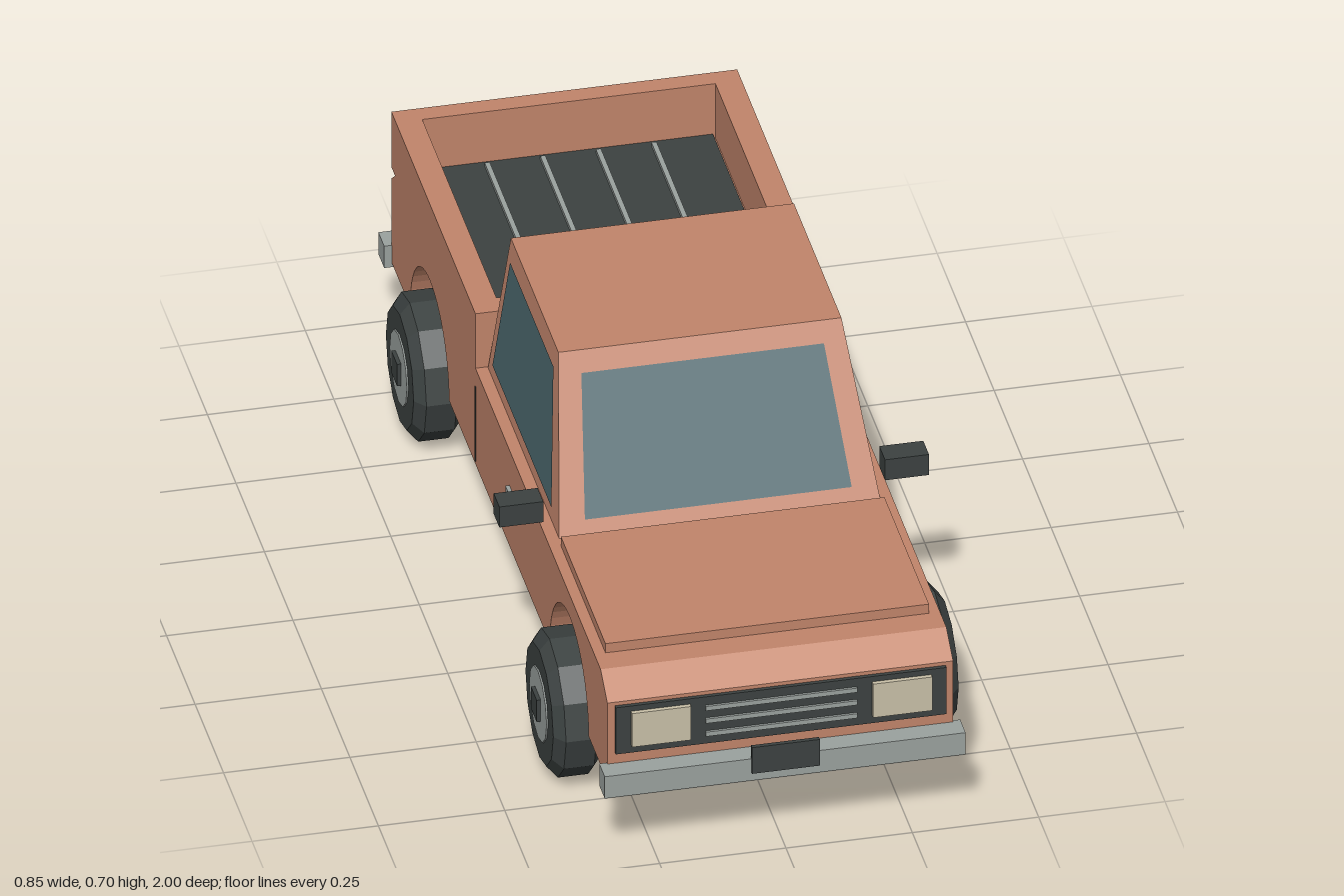
import * as THREE from 'three';

const mat = (name, color) => {
  const m = new THREE.MeshStandardMaterial({ color });
  m.name = name;
  return m;
};

export function createModel() {
  const paint = mat('copperPaint', 0xc2856b);
  const dark = mat('darkRubber', 0x3c4241);
  const metal = mat('greyMetal', 0x9ba29f);
  const glass = mat('tealGlass', 0x4a666c);
  const cream = mat('creamLens', 0xc9c0a8);
  const red = mat('redLens', 0xa03c2c);
  [paint, dark].forEach((m) => { m.flatShading = true; });

  const truck = new THREE.Group();
  truck.name = 'pickupTruck';

  const add = (name, geo, material, parent = truck) => {
    const mesh = new THREE.Mesh(geo, material);
    mesh.name = name;
    parent.add(mesh);
    return mesh;
  };
  // Box given by its extents on each axis
  const box = (name, material, [x0, x1], [y0, y1], [z0, z1], parent) => {
    const mesh = add(name, new THREE.BoxGeometry(x1 - x0, y1 - y0, z1 - z0), material, parent);
    mesh.position.set((x0 + x1) / 2, (y0 + y1) / 2, (z0 + z1) / 2);
    return mesh;
  };

  // Lower body: side profile with wheel arches, extruded across the width
  const side = new THREE.Shape();
  side.moveTo(0.95, 0.17);
  [[0.95, 0.35], [0.89, 0.39], [-0.91, 0.39], [-0.945, 0.362], [-0.945, 0.17], [-0.78, 0.17]]
    .forEach(([z, y]) => side.lineTo(z, y));
  side.absarc(-0.61, 0.17, 0.17, Math.PI, 0, true);
  side.lineTo(0.445, 0.17);
  side.absarc(0.615, 0.17, 0.17, Math.PI, 0, true);
  const bodyGeo = new THREE.ExtrudeGeometry(side, { depth: 0.684, bevelEnabled: false, curveSegments: 12 });
  bodyGeo.translate(0, 0, -0.342).rotateY(-Math.PI / 2);
  add('lowerBody', bodyGeo, paint);
  box('hoodPanel', paint, [-0.32, 0.32], [0.385, 0.411], [0.445, 0.835]);

  // Cargo bed walls: rectangle with a hole, extruded upward
  const rect = (Type, x, z0, z1) => {
    const p = new Type();
    p.moveTo(-x, -z0).lineTo(-x, -z1).lineTo(x, -z1).lineTo(x, -z0).closePath();
    return p;
  };
  const rim = rect(THREE.Shape, 0.342, -0.945, -0.208);
  rim.holes.push(rect(THREE.Path, 0.29, -0.905, -0.255));
  const bedGeo = new THREE.ExtrudeGeometry(rim, { depth: 0.127, bevelEnabled: false });
  bedGeo.rotateX(-Math.PI / 2).translate(0, 0.388, 0);
  add('bedWalls', bedGeo, paint);
  box('bedMat', dark, [-0.285, 0.285], [0.388, 0.4], [-0.905, -0.275]);
  for (const x of [-0.165, -0.055, 0.055, 0.165]) {
    box('bedRib', metal, [x - 0.005, x + 0.005], [0.398, 0.408], [-0.89, -0.3]);
  }

  // Cabin: box tapered toward the roof
  const Y0 = 0.388, Y1 = 0.703;
  const at = (y, a, b) => a + (b - a) * (y - Y0) / (Y1 - Y0);
  const halfX = (y) => at(y, 0.318, 0.28);
  const frontZ = (y) => at(y, 0.42, 0.245);
  const rearZ = (y) => at(y, -0.205, -0.172);
  const cabGeo = new THREE.BoxGeometry(2, Y1 - Y0, 2);
  const p = cabGeo.attributes.position;
  for (let i = 0; i < p.count; i++) {
    const y = p.getY(i) > 0 ? Y1 : Y0;
    p.setXYZ(i, Math.sign(p.getX(i)) * halfX(y), y, p.getZ(i) > 0 ? frontZ(y) : rearZ(y));
  }
  cabGeo.computeVertexNormals();
  add('cabin', cabGeo, paint);

  // Windows: single faces just outside the cabin, corners counter-clockwise
  const pane = (name, corners) => {
    const geo = new THREE.BufferGeometry().setFromPoints(corners.map((c) => new THREE.Vector3(...c)));
    geo.setIndex([0, 1, 2, 0, 2, 3]);
    geo.computeVertexNormals();
    add(name, geo, glass);
  };
  const lo = 0.418, hi = 0.665, gap = 0.003;
  const fl = frontZ(lo) + gap, fh = frontZ(hi) + gap;
  const rl = rearZ(lo) - gap, rh = rearZ(hi) - gap;
  const xl = halfX(lo) + gap, xh = halfX(hi) + gap;
  pane('windshield', [[-0.264, lo, fl], [0.264, lo, fl], [0.24, hi, fh], [-0.24, hi, fh]]);
  pane('rearWindow', [[0.264, lo, rl], [-0.264, lo, rl], [-0.24, hi, rh], [0.24, hi, rh]]);
  pane('leftWindow', [[xl, lo, 0.35], [xl, lo, -0.168], [xh, hi, -0.145], [xh, hi, 0.235]]);
  pane('rightWindow', [[-xl, lo, -0.168], [-xl, lo, 0.35], [-xh, hi, 0.235], [-xh, hi, -0.145]]);

  // Grille and bumpers
  box('grille', dark, [-0.327, 0.327], [0.235, 0.342], [0.945, 0.958]);
  for (const y of [0.259, 0.289, 0.318]) {
    box('grilleSlat', metal, [-0.15, 0.15], [y - 0.005, y + 0.005], [0.955, 0.963]);
  }
  box('frontBumper', metal, [-0.357, 0.357], [0.16, 0.21], [0.945, 0.993]);
  box('frontPlate', dark, [-0.067, 0.067], [0.18, 0.24], [0.991, 1]);
  box('rearBumper', metal, [-0.357, 0.357], [0.16, 0.21], [-0.993, -0.942]);
  box('rearPlate', dark, [-0.067, 0.067], [0.18, 0.24], [-1, -0.991]);
  box('tailgateHandle', metal, [-0.055, 0.055], [0.445, 0.467], [-0.955, -0.943]);

  // Parts mirrored on both sides
  for (const s of [-1, 1]) {
    const span = (a, b) => (s > 0 ? [a, b] : [-b, -a]);
    box('headlight', cream, span(0.18, 0.297), [0.253, 0.33], [0.95, 0.967]);
    box('tailLight', red, span(0.22, 0.305), [0.263, 0.33], [-0.964, -0.94]);
    box('mirror', dark, span(0.338, 0.425), [0.4, 0.447], [0.32, 0.37]);
    box('doorHandle', metal, span(0.34, 0.35), [0.294, 0.309], [0.09, 0.15]);
    box('doorSeam', dark, span(0.338, 0.344), [0.18, 0.35], [-0.207, -0.201]);
  }

  // Wheels: twelve-sided chamfered tyre, rim disc and square hub
  const tyreGeo = new THREE.LatheGeometry(
    [[0, -0.05], [0.122, -0.05], [0.146, -0.03], [0.146, 0.03], [0.122, 0.05], [0, 0.05]]
      .map(([r, y]) => new THREE.Vector2(r, y)), 12).rotateZ(Math.PI / 2);
  const rimGeo = new THREE.CylinderGeometry(0.076, 0.076, 0.106, 12).rotateZ(Math.PI / 2);
  const hubGeo = new THREE.BoxGeometry(0.122, 0.05, 0.05);
  for (const z of [-0.61, 0.615]) {
    for (const s of [-1, 1]) {
      const wheel = new THREE.Group();
      wheel.name = z > 0 ? 'frontWheel' : 'rearWheel';
      wheel.position.set(s * 0.351, 0.146, z);
      add('tyre', tyreGeo, dark, wheel);
      add('rim', rimGeo, metal, wheel);
      add('hub', hubGeo, dark, wheel);
      truck.add(wheel);
    }
  }
  return truck;
}
